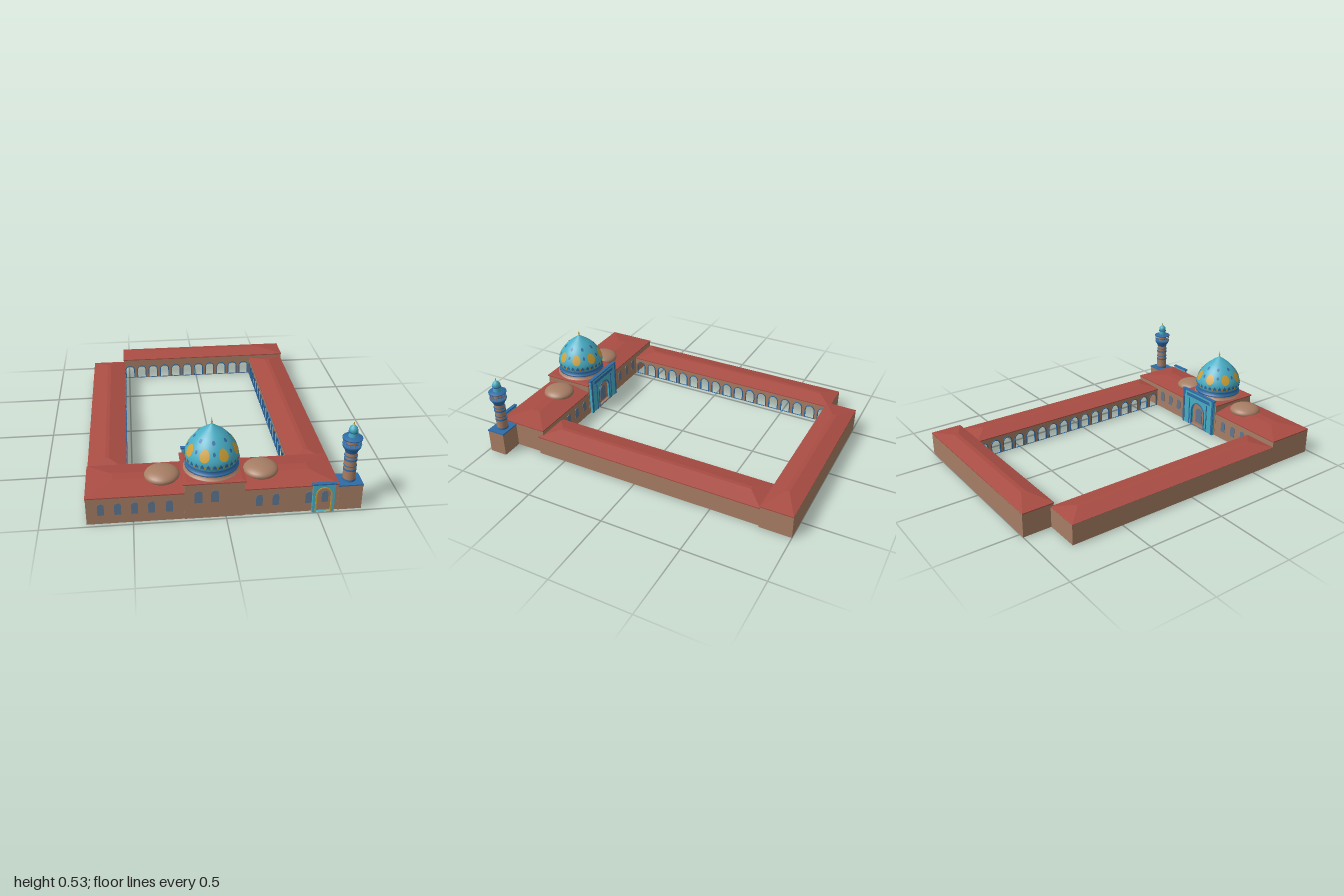
import * as THREE from 'three';

const mat = (name, color) => new THREE.MeshStandardMaterial({ name, color, side: THREE.DoubleSide });
const M = {
  wall: mat('sandBrown', 0xa67d64),
  roof: mat('brickRed', 0xa84c43),
  teal: mat('turquoise', 0x48adc4),
  blue: mat('deepBlue', 0x2f6ca6),
  gold: mat('ochreGold', 0xcfa136),
  glass: mat('slateBlue', 0x5f7690),
};

function add(parent, name, geometry, material, x = 0, y = 0, z = 0) {
  const mesh = new THREE.Mesh(geometry, material);
  mesh.name = name;
  mesh.position.set(x, y, z);
  parent.add(mesh);
  return mesh;
}
function group(parent, name, x = 0, y = 0, z = 0, ry = 0) {
  const g = new THREE.Group();
  g.name = name;
  g.position.set(x, y, z);
  g.rotation.y = ry;
  parent.add(g);
  return g;
}
const box = (w, h, d) => new THREE.BoxGeometry(w, h, d);
const lathe = (pts, n = 32) => new THREE.LatheGeometry(pts.map(p => new THREE.Vector2(p[0], p[1])), n);
const extrude = (shape, depth) => new THREE.ExtrudeGeometry(shape, { depth, bevelEnabled: false, curveSegments: 8 });

// Slightly pointed arch outline, standing on y = y0
function archPath(Type, cx, y0, w, h) {
  const s = new Type(), a = w / 2, spring = y0 + h - w * 0.6;
  s.moveTo(cx - a, y0);
  s.lineTo(cx + a, y0);
  s.lineTo(cx + a, spring);
  s.quadraticCurveTo(cx + a, y0 + h - w * 0.1, cx, y0 + h);
  s.quadraticCurveTo(cx - a, y0 + h - w * 0.1, cx - a, spring);
  s.closePath();
  return s;
}
function archRim(cx, y0, w, h, t, depth) {
  const s = archPath(THREE.Shape, cx, y0, w + 2 * t, h + t);
  s.holes.push(archPath(THREE.Path, cx, y0 + 0.001, w, h));
  return extrude(s, depth);
}
function rectShape(x0, x1, y0, y1) {
  return new THREE.Shape([[x0, y0], [x1, y0], [x1, y1], [x0, y1]].map(p => new THREE.Vector2(p[0], p[1])));
}

// Four walls without floor; open sides are left out
function walls(parent, x0, x1, z0, z1, h, open = '') {
  const cx = (x0 + x1) / 2, cz = (z0 + z1) / 2;
  const side = (key, w, x, z, ry) => {
    if (open.includes(key)) return;
    add(parent, 'wall', new THREE.PlaneGeometry(w, h), M.wall, x, h / 2, z).rotation.y = ry;
  };
  side('f', x1 - x0, cx, z1, 0);
  side('b', x1 - x0, cx, z0, Math.PI);
  side('r', z1 - z0, x1, cz, Math.PI / 2);
  side('l', z1 - z0, x0, cz, -Math.PI / 2);
}

// Hipped roof between an eave rectangle and a smaller top rectangle
function hipRoof(parent, x0, x1, z0, z1, y0, y1, inX, inZ) {
  const ring = (a, b, y) => [[x0 + a, y, z1 - b], [x1 - a, y, z1 - b], [x1 - a, y, z0 + b], [x0 + a, y, z0 + b]];
  const rings = [ring(0, 0, y0 - 0.006), ring(0, 0, y0), ring(inX, inZ, y1)];
  const pos = [];
  const quad = (a, b, c, d) => pos.push(...a, ...b, ...c, ...a, ...c, ...d);
  for (let k = 0; k < 2; k++) for (let i = 0; i < 4; i++) {
    const j = (i + 1) % 4;
    quad(rings[k][i], rings[k][j], rings[k + 1][j], rings[k + 1][i]);
  }
  quad(...rings[2]);
  const g = new THREE.BufferGeometry();
  g.setAttribute('position', new THREE.Float32BufferAttribute(pos, 3));
  g.computeVertexNormals();
  add(parent, 'hipRoof', g, M.roof);
}

// Row of open arches with blue rims
function arcade(parent, x, z, ry, len, h, n) {
  const g = group(parent, 'arcade', x, 0, z, ry);
  const wall = rectShape(0, len, 0, h), step = len / n, w = step * 0.66;
  for (let i = 0; i < n; i++) {
    const cx = (i + 0.5) * step;
    wall.holes.push(archPath(THREE.Path, cx, 0.003, w, 0.092));
    add(g, 'archRim', archRim(cx, 0.003, w, 0.092, 0.006, 0.008), M.blue, 0, 0, -0.004);
  }
  add(g, 'arcadeWall', new THREE.ShapeGeometry(wall, 6), M.wall);
}
const windowAt = (parent, x, y, z, w, h) =>
  add(parent, 'archedWindow', extrude(archPath(THREE.Shape, 0, 0, w, h), 0.004), M.glass, x, y, z);

// Tiled gateway with an arched opening
function portal(parent, name, x, z, ry, w, h, ow, oh, border) {
  const g = group(parent, name, x, 0, z, ry);
  const s = rectShape(-w / 2, w / 2, 0, h);
  s.holes.push(archPath(THREE.Path, 0, 0.004, ow, oh));
  add(g, 'tiledFrame', extrude(s, 0.016), M.teal);
  add(g, 'portalCap', box(w + 0.012, 0.008, 0.022), M.blue, 0, h, 0.009);
  add(g, 'archTrim', archRim(0, 0.004, ow - 0.008, oh - 0.004, 0.008, 0.005), border ? M.blue : M.gold, 0, 0, 0.014);
  if (border) {
    for (const sx of [-1, 1]) {
      add(g, 'sideBorder', box(0.016, h, 0.008), M.blue, sx * (w / 2 - 0.008), h / 2, 0.0155);
      add(g, 'innerBorder', box(0.008, oh + 0.02, 0.006), M.blue, sx * (ow / 2 + 0.022), oh / 2 + 0.01, 0.0155);
    }
    add(g, 'friezePanel', box(w * 0.75, 0.022, 0.006), M.blue, 0, h - 0.03, 0.0155);
    add(g, 'threshold', box(ow, 0.012, 0.016), M.wall, 0, 0.006, 0.008);
    windowAt(g, 0, 0.03, 0.001, ow * 0.5, oh * 0.62);
  }
}

// Large dome with painted tile ornament
function bigDome(parent, x, z) {
  const g = group(parent, 'mainDome', x, 0, z);
  add(g, 'drum', lathe([[0.157, 0.218], [0.157, 0.23], [0.143, 0.231], [0.143, 0.25]]), M.wall);
  add(g, 'drumBand', lathe([[0.139, 0.243], [0.149, 0.246], [0.149, 0.256], [0.14, 0.258], [0.14, 0.275], [0.145, 0.279], [0.138, 0.283]]), M.blue);
  const curve = new THREE.SplineCurve([[0.138, 0.27], [0.148, 0.308], [0.141, 0.345], [0.117, 0.39], [0.081, 0.432],
    [0.04, 0.464], [0.002, 0.49]].map(p => new THREE.Vector2(...p)));
  const prof = curve.getPoints(36);
  add(g, 'domeShell', new THREE.LatheGeometry(prof, 48), M.teal);
  const radius = y => {
    const i = Math.min(Math.max(prof.findIndex(p => p.y >= y), 1), prof.length - 1), a = prof[i - 1], b = prof[i];
    return a.x + (b.x - a.x) * (y - a.y) / (b.y - a.y);
  };
  // wraps a small flat patch onto the shell
  const patch = (name, sides, w, h, angle, yc, material, lift = 0.002) => {
    const geo = new THREE.CircleGeometry(1, sides, Math.PI / 2), p = geo.attributes.position, r0 = radius(yc);
    for (let i = 0; i < p.count; i++) {
      const y = yc + p.getY(i) * h / 2, a = angle + p.getX(i) * w / 2 / r0, r = radius(y) + lift;
      p.setXYZ(i, Math.sin(a) * r, y + lift * 0.4, Math.cos(a) * r);
    }
    geo.computeVertexNormals();
    add(g, name, geo, material);
  };
  for (let i = 0; i < 8; i++) {
    const a = i * Math.PI / 4;
    patch('goldMedallion', 14, 0.056, 0.066, a + Math.PI / 8, 0.362, M.gold);
    patch('blueRosette', 10, 0.018, 0.02, a, 0.422, M.blue);
    patch('lowerRosette', 8, 0.016, 0.022, a, 0.372, M.blue);
  }
  for (let i = 0; i < 28; i++) {
    const a = i * Math.PI / 14;
    patch('blueZigzag', 3, 0.036, 0.034, a, 0.302, M.blue, 0.003);
    patch('goldDrop', 4, 0.014, 0.02, a + Math.PI / 28, 0.298, M.gold, 0.0035);
  }
  add(g, 'finial', lathe([[0.006, 0.484], [0.003, 0.495], [0.006, 0.5], [0.002, 0.506], [0.004, 0.511], [0.001, 0.516], [0, 0.528]], 10), M.gold);
}

// Minaret with square plinth, banded shaft and open gallery
function minaret(parent, x, z) {
  const g = group(parent, 'minaret', x, 0, z);
  walls(g, -0.068, 0.066, -0.053, 0.06, 0.15);
  add(g, 'plinthCap', box(0.138, 0.007, 0.118), M.blue, -0.001, 0.153, 0.003);
  add(g, 'shaft', lathe([[0.036, 0.156], [0.032, 0.34]], 20), M.wall);
  for (const [y, h] of [[0.163, 0.012], [0.228, 0.01], [0.252, 0.005], [0.29, 0.01], [0.312, 0.005]])
    add(g, 'shaftBand', new THREE.CylinderGeometry(0.036, 0.037, h, 20), M.blue, 0, y, 0);
  add(g, 'flare', lathe([[0.033, 0.332], [0.037, 0.345], [0.05, 0.365], [0.053, 0.38], [0, 0.381]], 20), M.blue);
  add(g, 'galleryCore', new THREE.CylinderGeometry(0.027, 0.027, 0.04, 16), M.wall, 0, 0.4, 0);
  for (let i = 0; i < 12; i++) {
    const a = i * Math.PI / 6;
    add(g, 'galleryPost', new THREE.CylinderGeometry(0.002, 0.002, 0.04, 6), M.wall, Math.sin(a) * 0.049, 0.4, Math.cos(a) * 0.049);
  }
  const rail = add(g, 'galleryRail', new THREE.TorusGeometry(0.049, 0.002, 6, 24), M.blue, 0, 0.396, 0);
  rail.rotation.x = Math.PI / 2;
  add(g, 'galleryRoof', lathe([[0, 0.414], [0.055, 0.415], [0.055, 0.421], [0.026, 0.428]], 20), M.blue);
  add(g, 'lantern', lathe([[0.024, 0.424], [0.022, 0.455]], 16), M.teal);
  add(g, 'lanternBand', new THREE.CylinderGeometry(0.026, 0.026, 0.006, 16), M.blue, 0, 0.455, 0);
  add(g, 'cap', lathe([[0.022, 0.456], [0.025, 0.468], [0.021, 0.481], [0.011, 0.491], [0.001, 0.497]], 16), M.teal);
  add(g, 'finial', lathe([[0.004, 0.492], [0.002, 0.499], [0.004, 0.504], [0, 0.516]], 8), M.gold);
}

export function createModel() {
  const root = new THREE.Group();
  root.name = 'courtyardMosque';

  // Courtyard wings
  const back = group(root, 'backWing');
  walls(back, -0.535, 0.643, -1, -0.805, 0.148, 'f');
  arcade(back, -0.535, -0.805, 0, 0.935, 0.148, 11);
  add(back, 'wall', new THREE.PlaneGeometry(0.243, 0.148), M.wall, 0.5215, 0.074, -0.805);
  hipRoof(back, -0.538, 0.646, -1, -0.803, 0.149, 0.175, 0.16, 0.085);
  const left = group(root, 'longWing');
  walls(left, -0.75, -0.53, -0.825, 0.66, 0.125, 'r');
  arcade(left, -0.53, -0.825, -Math.PI / 2, 1.485, 0.125, 17);
  hipRoof(left, -0.75, -0.528, -0.825, 0.66, 0.126, 0.151, 0.1, 0.1);
  const right = group(root, 'longWing');
  walls(right, 0.402, 0.632, -0.805, 0.685, 0.125, 'l');
  arcade(right, 0.402, -0.805, -Math.PI / 2, 1.465, 0.125, 17);
  hipRoof(right, 0.4, 0.635, -0.805, 0.685, 0.126, 0.151, 0.105, 0.1);

  // Prayer hall
  const hall = group(root, 'prayerHall');
  walls(hall, -0.748, 0.615, 0.662, 0.978, 0.163);
  hipRoof(hall, -0.75, 0.617, 0.66, 0.98, 0.165, 0.191, 0.145, 0.13);
  for (const x of [-0.67, -0.58, -0.49, -0.4, -0.305, 0.18, 0.27, 0.45, 0.54])
    windowAt(hall, x, 0.055, 0.977, 0.036, 0.072);
  for (const x of [-0.48, -0.39, -0.3, 0.16, 0.25, 0.34])
    windowAt(hall, x, 0.055, 0.659, 0.036, 0.072);
  for (const x of [-0.335, 0.21]) {
    const dome = add(hall, 'sideDome', new THREE.SphereGeometry(0.098, 32, 16), M.wall, x, 0.19, 0.82);
    dome.scale.y = 0.42;
  }

  // Raised central block under the main dome
  const block = group(root, 'centralBlock');
  walls(block, -0.224, 0.1, 0.66, 0.981, 0.217);
  hipRoof(block, -0.232, 0.108, 0.656, 0.985, 0.221, 0.225, 0.02, 0.02);
  for (const x of [-0.15, -0.062]) windowAt(block, x, 0.1, 0.98, 0.044, 0.075);
  bigDome(block, -0.062, 0.82);

  portal(root, 'streetPortal', 0.53, 0.98, 0, 0.122, 0.18, 0.084, 0.155, false);
  portal(root, 'courtyardPortal', -0.062, 0.66, Math.PI, 0.305, 0.248, 0.13, 0.175, true);
  minaret(root, 0.682, 0.922);
  return root;
}
